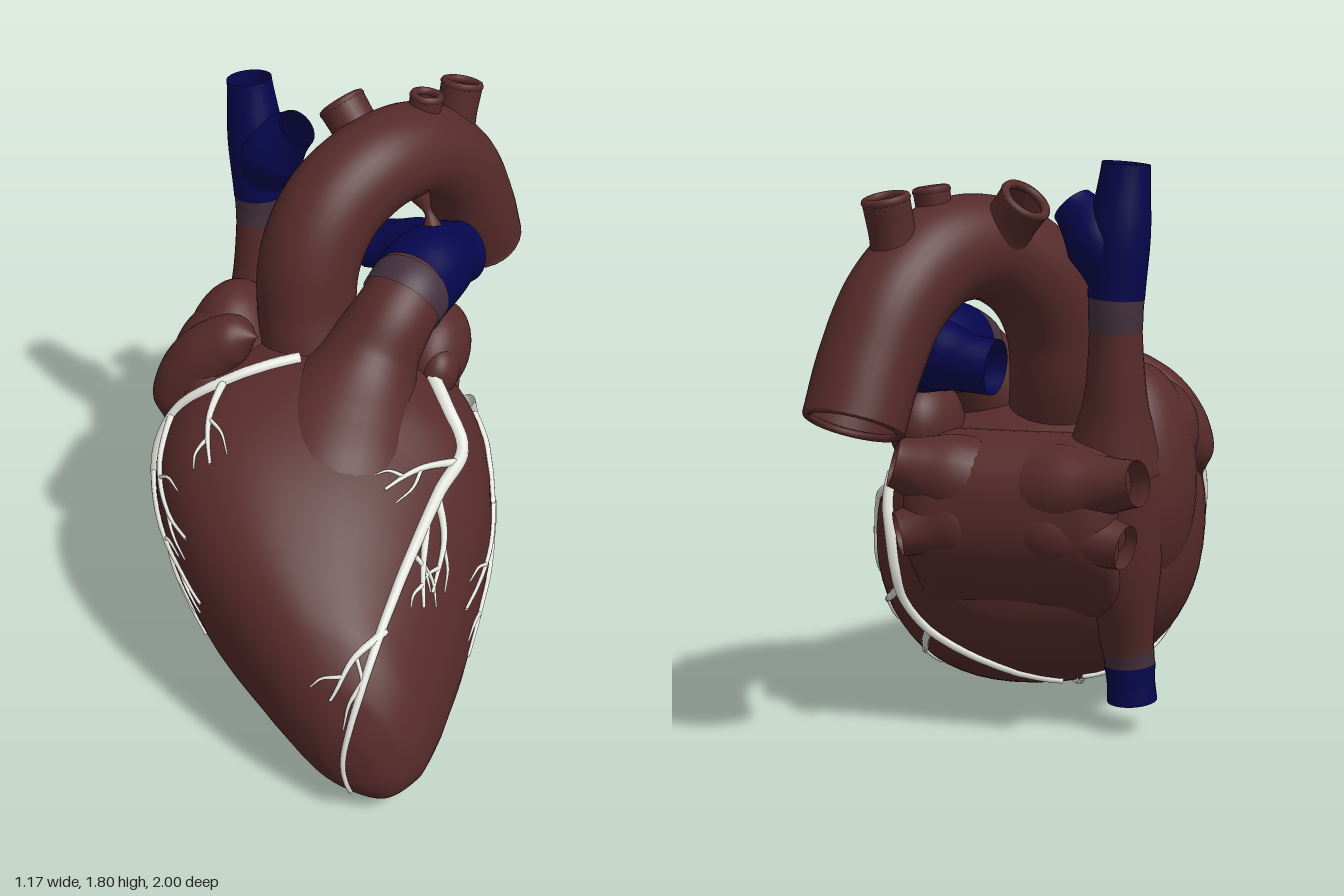
import * as THREE from 'three';
import { mergeVertices } from 'three/addons/utils/BufferGeometryUtils.js';

const V = (a) => new THREE.Vector3(...a);
const material = (name, color) => {
  const m = new THREE.MeshStandardMaterial({ color, side: THREE.DoubleSide });
  m.name = name;
  return m;
};

// Weld shared corners so the seams shade smoothly
function smooth(geo) {
  geo.deleteAttribute('uv');
  geo.deleteAttribute('normal');
  const g = mergeVertices(geo, 1e-5);
  g.computeVertexNormals();
  return g;
}

export function createModel() {
  const group = new THREE.Group();
  const muscle = material('muscle brown', 0x562b2a);
  const vein = material('vein blue', 0x06064e);
  const blend = material('vein transition', 0x43303c);
  const coronary = material('coronary white', 0xe6e6e0);

  const add = (name, geo, mat) => {
    const m = new THREE.Mesh(geo, mat);
    m.name = name;
    group.add(m);
    return m;
  };

  // Tube whose radius follows a list spread evenly along its length
  function tube(name, pts, radii, mat, sides = 24, seg = pts.length * 8) {
    const curve = new THREE.CatmullRomCurve3(pts.map((p) => (p.isVector3 ? p : V(p))));
    const geo = new THREE.TubeGeometry(curve, seg, 1, sides);
    const pos = geo.attributes.position;
    const profile = new THREE.SplineCurve(radii.map((r, i) => new THREE.Vector2(i, r)));
    const v = new THREE.Vector3();
    for (let ring = 0; ring <= seg; ring++) {
      const c = curve.getPointAt(ring / seg);
      const r = Math.max(profile.getPoint(ring / seg).y, 0.0005);
      for (let j = 0; j <= sides; j++) {
        const k = ring * (sides + 1) + j;
        v.fromBufferAttribute(pos, k).sub(c).multiplyScalar(r).add(c);
        pos.setXYZ(k, v.x, v.y, v.z);
      }
    }
    return add(name, smooth(geo), mat);
  }

  // Rounded rim just inside an open vessel end of radius r
  function lip(name, at, dir, r, mat, thick = 0.012) {
    const m = add(name, new THREE.TorusGeometry(r - thick, thick, 8, 28), mat);
    m.position.set(...at);
    m.quaternion.setFromUnitVectors(new THREE.Vector3(0, 0, 1), V(dir).normalize());
  }

  function blob(name, at, size, rot = [0, 0, 0]) {
    const m = add(name, new THREE.SphereGeometry(1, 36, 24), muscle);
    m.position.set(...at);
    m.scale.set(...size);
    m.rotation.set(...rot);
  }

  // Ventricles: tilted oval slices [z, centre x, centre y, half width, half height, tilt]
  const slices = [
    [1.0, 0.33, 0.26, 0, 0, 0.4], [0.985, 0.33, 0.265, 0.09, 0.11, 0.4],
    [0.94, 0.305, 0.295, 0.19, 0.22, 0.42], [0.85, 0.25, 0.35, 0.295, 0.31, 0.44],
    [0.7, 0.152, 0.412, 0.412, 0.4, 0.44], [0.5, 0.07, 0.48, 0.505, 0.472, 0.38],
    [0.3, 0.026, 0.525, 0.549, 0.505, 0.27], [0.1, 0.002, 0.56, 0.56, 0.505, 0.12],
    [-0.1, -0.02, 0.6, 0.52, 0.45, 0.05], [-0.25, -0.03, 0.62, 0.43, 0.36, 0],
    [-0.35, -0.03, 0.62, 0.27, 0.24, 0], [-0.4, -0.03, 0.62, 0, 0, 0],
  ];
  const spine = new THREE.CatmullRomCurve3(slices.map((s) => V(s.slice(0, 3))));
  const sizes = new THREE.CatmullRomCurve3(slices.map((s) => V(s.slice(3))));
  const rings = 66, around = 56, verts = [], index = [];
  const round = (x) => Math.sign(x) * Math.abs(x) ** 0.9;
  for (let i = 0; i <= rings; i++) {
    const c = spine.getPoint(i / rings), s = sizes.getPoint(i / rings);
    for (let j = 0; j < around; j++) {
      const t = (j / around) * Math.PI * 2;
      verts.push(c.y + Math.max(s.x, 0) * round(Math.cos(t + s.z)), c.z + Math.max(s.y, 0) * round(Math.sin(t)), c.x);
      if (i < rings) {
        const k = (j + 1) % around, a = i * around, b = a + around;
        index.push(a + j, b + j, a + k, b + j, b + k, a + k);
      }
    }
  }
  // The slices run x, y, z from the spine's z, x, y order
  const bodyGeo = new THREE.BufferGeometry();
  bodyGeo.setAttribute('position', new THREE.Float32BufferAttribute(verts, 3));
  bodyGeo.setIndex(index);
  const body = add('ventricles', smooth(bodyGeo), muscle);

  // Outflow and pulmonary artery with its two stubs
  const outflow = tube('pulmonaryOutflow', [[0.03, 0.52, 0.4], [0.05, 0.71, 0.24], [0.075, 0.89, 0.1], [0.12, 1.06, -0.01], [0.165, 1.16, -0.07],
    [0.192, 1.21, -0.14], [0.21, 1.23, -0.22]], [0.32, 0.325, 0.305, 0.245, 0.165, 0.134, 0.13], muscle, 40, 64);
  tube('pulmonaryTransition', [[0.183, 1.195, -0.112], [0.193, 1.213, -0.145], [0.2, 1.222, -0.178]], [0.138, 0.138, 0.138], blend, 40);
  tube('pulmonaryTrunk', [[0.197, 1.22, -0.162], [0.222, 1.23, -0.28], [0.25, 1.22, -0.39], [0.295, 1.205, -0.475]], [0.14, 0.142, 0.13, 0.105], vein, 40);
  tube('rightPulmonaryArtery', [[0.26, 1.23, -0.36], [0.17, 1.22, -0.42], [0.06, 1.2, -0.46], [-0.03, 1.19, -0.47]], [0.1, 0.11, 0.09, 0.085], vein);
  tube('ligament', [[0.22, 1.34, -0.36], [0.21, 1.38, -0.365], [0.17, 1.45, -0.38]], [0.035, 0.014, 0.035], muscle, 12);

  // Aorta and its branches
  tube('aorta', [[-0.08, 0.88, -0.02], [-0.13, 1.12, -0.1], [-0.13, 1.3, -0.14], [-0.08, 1.45, -0.23], [0.02, 1.54, -0.37],
    [0.12, 1.525, -0.55], [0.2, 1.4, -0.7], [0.25, 1.22, -0.79], [0.275, 1.06, -0.855]],
  [0.15, 0.16, 0.165, 0.165, 0.16, 0.157, 0.155, 0.153, 0.15], muscle, 36);
  lip('aortaLip', [0.275, 1.06, -0.855], [0.1, -0.9, -0.4], 0.15, muscle);
  for (const [name, a, b, r] of [
    ['brachiocephalicArtery', [0, 1.54, -0.42], [-0.125, 1.685, -0.48], 0.08],
    ['carotidArtery', [0.12, 1.54, -0.54], [0.14, 1.715, -0.555], 0.055],
    ['subclavianArtery', [0.19, 1.45, -0.68], [0.215, 1.69, -0.735], 0.07],
  ]) {
    const mid = a.map((v, i) => (v + b[i]) / 2);
    tube(name, [a, mid, b], [r * 1.35, r, r], muscle);
    lip(name + 'Lip', b, b.map((v, i) => v - a[i]), r + 0.003, muscle, 0.014);
  }

  // Great veins
  tube('superiorVenaCavaBase', [[-0.34, 0.85, -0.25], [-0.36, 1.1, -0.31], [-0.365, 1.31, -0.335]], [0.16, 0.1, 0.08], muscle);
  tube('superiorVenaCavaTransition', [[-0.365, 1.3, -0.335], [-0.366, 1.35, -0.34], [-0.367, 1.4, -0.34]], [0.082, 0.083, 0.085], blend);
  tube('superiorVenaCava', [[-0.367, 1.395, -0.34], [-0.38, 1.6, -0.35], [-0.4, 1.795, -0.36]], [0.086, 0.092, 0.073], vein);
  tube('brachiocephalicVein', [[-0.365, 1.42, -0.34], [-0.32, 1.56, -0.33], [-0.22, 1.67, -0.3]], [0.07, 0.11, 0.067], vein);
  tube('inferiorVenaCavaUpper', [[-0.33, 0.85, -0.25], [-0.35, 0.55, -0.23], [-0.375, 0.26, -0.17]], [0.17, 0.14, 0.08], muscle);
  tube('inferiorVenaCavaTransition', [[-0.373, 0.28, -0.174], [-0.376, 0.25, -0.168], [-0.378, 0.22, -0.165]], [0.083, 0.081, 0.08], blend);
  tube('inferiorVenaCava', [[-0.378, 0.225, -0.165], [-0.382, 0.16, -0.163], [-0.385, 0.105, -0.16]], [0.081, 0.077, 0.08], vein);

  // Right atrium and auricle
  blob('rightAtrium', [-0.375, 0.8, -0.09], [0.192, 0.38, 0.25]);
  blob('rightAtriumRoof', [-0.4, 0.945, -0.01], [0.155, 0.18, 0.245]);
  tube('rightAuricle', [[-0.54, 0.78, 0.17], [-0.51, 0.87, 0.15], [-0.455, 0.97, 0.13], [-0.38, 1.06, 0.12], [-0.3, 1.12, 0.12], [-0.215, 1.15, 0.14]],
    [0, 0.065, 0.09, 0.1, 0.1, 0.09, 0.07, 0], muscle, 24, 64);

  // Left atrium: wedge profile (depth behind the centre, height) drawn out from side to side
  const wedge = [[0.1, 0.88], [0.25, 0.91], [0.36, 0.9], [0.44, 0.86], [0.465, 0.75], [0.445, 0.63], [0.36, 0.53], [0.25, 0.44], [0.1, 0.43], [0.1, 0.88]];
  const wedgeShape = new THREE.Shape(new THREE.SplineCurve(wedge.map((p) => new THREE.Vector2(...p))).getPoints(44));
  const atrium = new THREE.ExtrudeGeometry(wedgeShape, { depth: 0.44, steps: 6, bevelThickness: 0.11, bevelSize: 0.06, bevelSegments: 6 });
  atrium.rotateY(Math.PI / 2).translate(-0.28, 0, 0);
  add('leftAtrium', smooth(atrium), muscle);
  blob('leftAuricle', [0.275, 0.975, -0.225], [0.115, 0.15, 0.175], [0.2, 0, 0]);
  blob('leftAuricleTip', [0.315, 0.96, -0.12], [0.065, 0.09, 0.085]);
  for (const [name, end, r] of [
    ['upperLeftVein', [0.3, 0.89, -0.47], 0.078], ['lowerLeftVein', [0.28, 0.67, -0.49], 0.07],
    ['upperRightVein', [-0.47, 0.86, -0.48], 0.07], ['lowerRightVein', [-0.43, 0.66, -0.46], 0.068],
  ]) {
    const root = [end[0] * 0.3, 0.38 + end[1] * 0.5, -0.38];
    const at = (k) => root.map((v, i) => v + (end[i] - v) * k);
    tube(name, [root, at(0.4), at(0.75), end], [0.14, 0.13, r * 1.3, r], muscle);
  }

  // Coronary vessels are dropped onto the muscle surface towards the core
  const ray = new THREE.Raycaster();
  const core = (p) => new THREE.Vector3(0.05 + 0.1 * p.z, 0.52 - 0.1 * p.z, THREE.MathUtils.clamp(p.z, -0.1, 0.6));
  function snap(p) {
    const c = core(p), out = p.clone().sub(c).normalize();
    ray.set(c.clone().addScaledVector(out, 2), out.clone().negate());
    const hit = ray.intersectObjects([body, outflow])[0];
    return hit ? hit.point.addScaledVector(out, 0.004) : p;
  }
  function vessel(name, pts, r0, r1, forks = 0) {
    const curve = new THREE.CatmullRomCurve3(pts.map((p) => (p.isVector3 ? p : V(p))));
    const path = curve.getSpacedPoints(pts.length * 4).map(snap);
    tube(name, path, [r0, (r0 + r1) / 2, r1], coronary, 8, path.length * 2);
    const end = curve.getPoint(1);
    for (let f = 0; f < forks; f++) {
      const start = curve.getPointAt(0.72 - 0.25 * f);
      const run = end.clone().sub(start).clampLength(0, 0.14);
      const side = run.clone().cross(start.clone().sub(core(start))).normalize().multiplyScalar(f % 2 ? -0.055 : 0.055);
      const mid = start.clone().addScaledVector(run, 0.45).addScaledVector(side, 0.75);
      vessel(name + 'Twig', [start, mid, start.clone().add(run).add(side)], r1 + 0.002, 0.003);
    }
  }
  vessel('frontDescendingArtery', [[0.3, 1.06, -0.12], [0.39, 0.94, 0.03], [0.44, 0.83, 0.12], [0.44, 0.81, 0.3], [0.43, 0.77, 0.45],
    [0.39, 0.67, 0.67], [0.345, 0.56, 0.83], [0.33, 0.42, 0.95], [0.32, 0.25, 1], [0.33, 0.1, 0.95]], 0.027, 0.007, 2);
  vessel('circumflexArtery', [[0.42, 0.82, -0.2], [0.41, 0.65, -0.27], [0.39, 0.5, -0.27], [0.37, 0.4, -0.24], [0.31, 0.29, -0.22],
    [0.2, 0.22, -0.2], [0.05, 0.16, -0.13], [-0.1, 0.11, 0.02]], 0.025, 0.011);
  vessel('rightCoronaryArtery', [[-0.1, 1.1, 0.1], [-0.22, 1.07, 0.18], [-0.33, 1.0, 0.25], [-0.42, 0.9, 0.28], [-0.49, 0.75, 0.33], [-0.5, 0.6, 0.36],
    [-0.48, 0.45, 0.36], [-0.43, 0.32, 0.25], [-0.33, 0.2, 0.1], [-0.18, 0.12, 0]], 0.02, 0.01);
  const branches = [
    [[0.44, 0.82, 0.18], [0.36, 0.87, 0.3], [0.3, 0.9, 0.43]],
    [[0.44, 0.79, 0.33], [0.49, 0.71, 0.4], [0.51, 0.62, 0.56]],
    [[0.43, 0.77, 0.42], [0.47, 0.7, 0.53], [0.48, 0.6, 0.62]],
    [[0.365, 0.6, 0.76], [0.28, 0.55, 0.82], [0.24, 0.46, 0.88]],
    [[0.46, 0.78, -0.2], [0.51, 0.68, -0.05], [0.54, 0.58, 0.03], [0.55, 0.51, 0.15], [0.56, 0.47, 0.27], [0.56, 0.46, 0.44]],
    [[0.54, 0.58, 0.03], [0.55, 0.47, 0.06], [0.55, 0.4, 0.15], [0.55, 0.36, 0.28], [0.54, 0.3, 0.46]],
    [[0.4, 0.43, -0.26], [0.48, 0.36, -0.1], [0.51, 0.32, 0.1], [0.52, 0.25, 0.35]],
    [[0.3, 0.28, -0.21], [0.38, 0.17, 0], [0.42, 0.12, 0.2], [0.43, 0.08, 0.42]],
    [[-0.18, 0.12, 0], [-0.06, 0.07, 0.25], [0.1, 0.03, 0.45], [0.3, 0.02, 0.65]],
    [[-0.3, 1.02, 0.24], [-0.29, 0.97, 0.38], [-0.23, 0.9, 0.53]],
    [[-0.43, 0.88, 0.28], [-0.38, 0.75, 0.47], [-0.3, 0.69, 0.58], [-0.21, 0.67, 0.65]],
    [[-0.49, 0.7, 0.34], [-0.4, 0.6, 0.53], [-0.3, 0.57, 0.65], [-0.21, 0.53, 0.73]],
    [[-0.48, 0.45, 0.36], [-0.39, 0.43, 0.55], [-0.27, 0.33, 0.67]],
  ];
  branches.forEach((pts) => vessel('coronaryBranch', pts, 0.014, 0.005, 2));
  return group;
}
